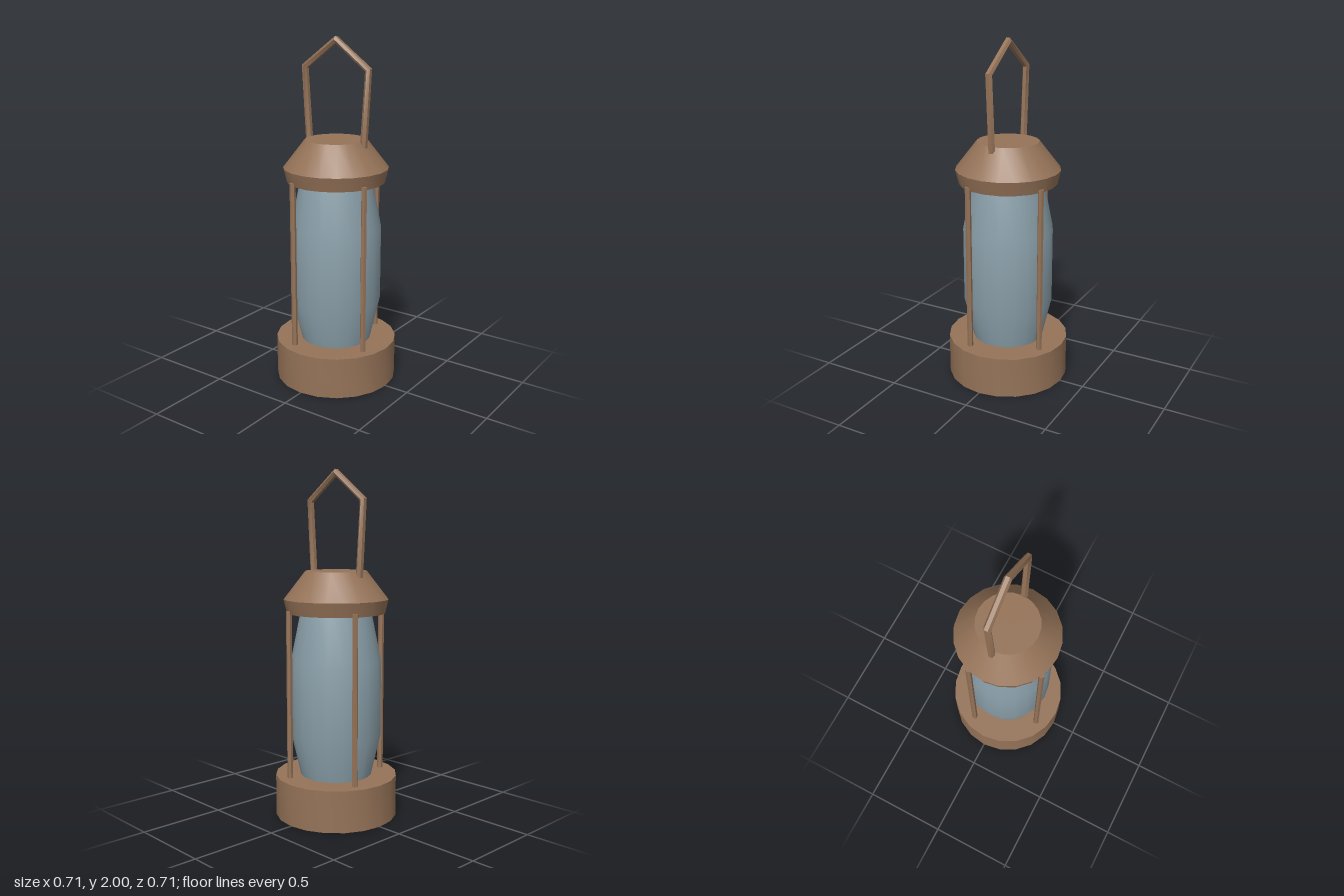
import * as THREE from 'three';
import { toCreasedNormals } from 'three/addons/utils/BufferGeometryUtils.js';

const SIDES = 20;

// Open polyline whose sample points fall exactly on its corners
class CornerCurve extends THREE.Curve {
  constructor(points) {
    super();
    this.points = points;
  }
  getPoint(t) {
    const n = this.points.length - 1;
    const i = Math.min(Math.floor(t * n + 1e-6), n - 1);
    return this.points[i].clone().lerp(this.points[i + 1], t * n - i);
  }
  getPointAt(t) {
    return this.getPoint(t);
  }
  getTangentAt(t) {
    const n = this.points.length - 1;
    const i = Math.round(t * n);
    const dir = (a, b) => this.points[b].clone().sub(this.points[a]).normalize();
    if (i === 0) return dir(0, 1);
    if (i === n) return dir(n - 1, n);
    return dir(i - 1, i).add(dir(i, i + 1)).normalize();
  }
}

export function createModel() {
  const lantern = new THREE.Group();
  lantern.name = 'lantern';
  const copper = new THREE.MeshStandardMaterial({ color: 0x957358 });
  copper.name = 'copper';
  const glass = new THREE.MeshStandardMaterial({ color: 0x8ba0aa });
  glass.name = 'glass';

  const add = (name, geometry, material) => {
    const mesh = new THREE.Mesh(toCreasedNormals(geometry, 0.6), material);
    mesh.name = name;
    lantern.add(mesh);
    return mesh;
  };
  const lathe = (profile) =>
    new THREE.LatheGeometry(profile.map(([r, y]) => new THREE.Vector2(r, y)), SIDES);

  // Base drum
  add('base', lathe([[0, 0], [0.355, 0], [0.355, 0.24], [0, 0.24]]), copper);

  // Barrel-shaped glass chimney
  add('glassChimney', lathe([[0.205, 0.23], [0.262, 0.48], [0.262, 0.92], [0.205, 1.2]]), glass);

  // Flared cap with a flat top
  add('cap', lathe([[0, 1.19], [0.283, 1.19], [0.302, 1.27], [0.178, 1.43], [0, 1.43]]), copper);

  // Four guard posts, a quarter turn apart
  for (let i = 0; i < 4; i++) {
    const angle = Math.PI / 8 + (i * Math.PI) / 2;
    const post = add('guardPost', new THREE.CylinderGeometry(0.017, 0.017, 1.0, 6), copper);
    post.position.set(0.285 * Math.cos(angle), 0.71, 0.285 * Math.sin(angle));
    post.rotation.y = -angle;
  }

  // Pointed carrying handle
  const corners = [[-0.186, 1.4], [-0.213, 1.826], [0, 1.981], [0.213, 1.826], [0.186, 1.4]]
    .map(([x, y]) => new THREE.Vector3(x, y, 0));
  add('handle', new THREE.TubeGeometry(new CornerCurve(corners), 4, 0.021, 6), copper);

  return lantern;
}
